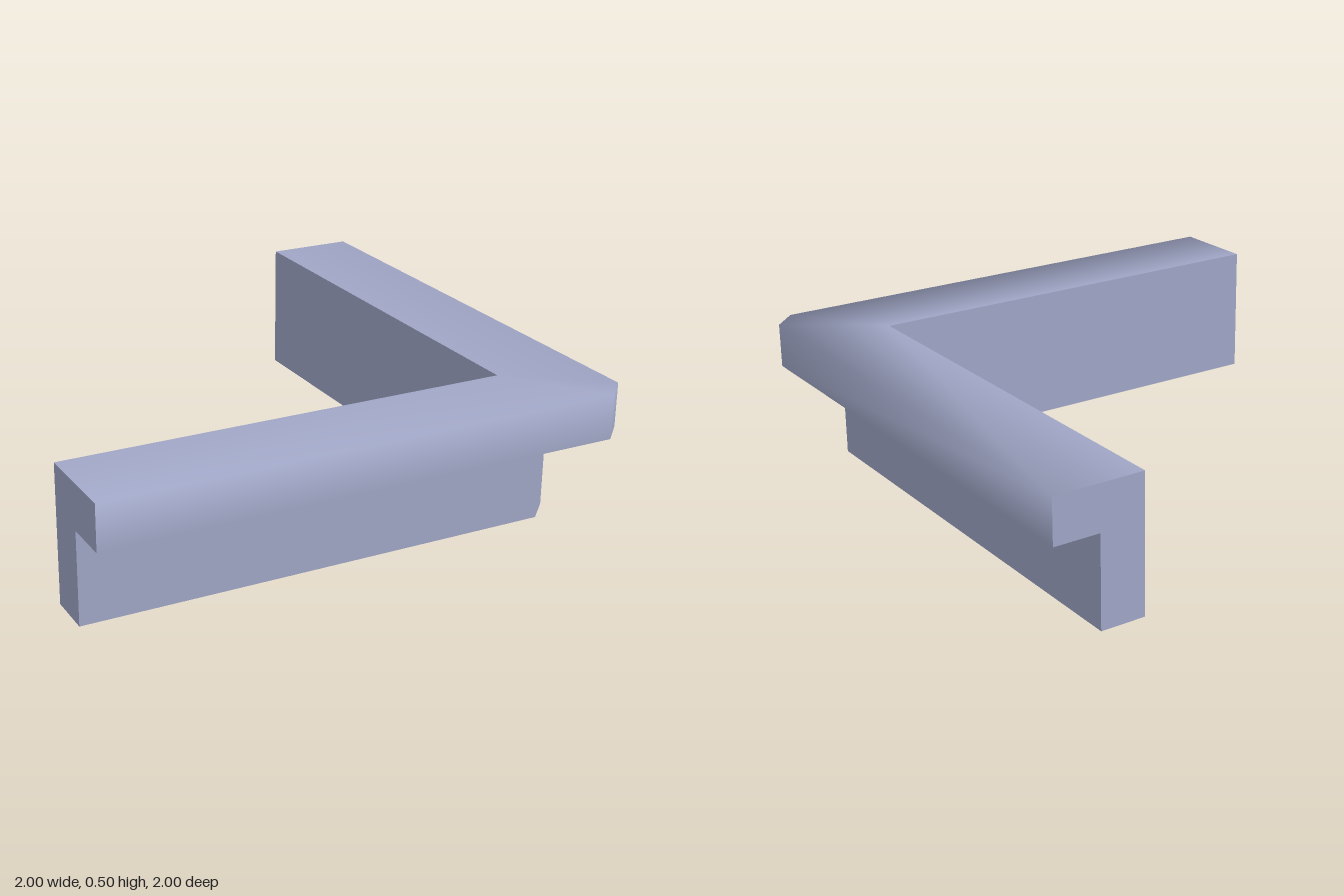
import * as THREE from 'three';

// L-shaped corner prism: outer faces at `out`, corner cut by `cut`, inner faces at `inn`.
// With soft = true the outer top edge is shaded as a rounded one.
function cornerPrism(out, cut, inn, y0, y1, soft) {
  // plan outline, anticlockwise from above: [x, z]
  const plan = [[-1, out], [out - cut, out], [out, out - cut], [out, -1], [inn, -1], [inn, inn], [-1, inn]];
  const up = new THREE.Vector3(0, 1, 0);
  const down = new THREE.Vector3(0, -1, 0);
  const sides = plan.map(([x, z], i) => {
    const [u, w] = plan[(i + 1) % plan.length];
    return new THREE.Vector3(-(w - z), 0, u - x).normalize();
  });

  // blended normals along the outer top edge
  const blended = plan.map((p, i) => {
    if (!soft || i > 3) return null;
    const n = up.clone();
    if (i > 0) n.add(sides[i - 1]);
    if (i < 3) n.add(sides[i]);
    return n.normalize();
  });

  const pos = [], nor = [];
  const put = (i, y, n) => {
    const normal = (y === y1 && n !== down && blended[i]) || n;
    pos.push(plan[i][0], y, plan[i][1]);
    nor.push(normal.x, normal.y, normal.z);
  };

  // side walls, with sharp inner faces and ends
  plan.forEach((p, i) => {
    const j = (i + 1) % plan.length;
    const hard = i > 2;
    const quad = [[i, y0], [j, y0], [j, y1], [i, y0], [j, y1], [i, y1]];
    for (const [k, y] of quad) {
      if (hard) {
        pos.push(plan[k][0], y, plan[k][1]);
        nor.push(sides[i].x, sides[i].y, sides[i].z);
      } else put(k, y, sides[i]);
    }
  });

  // top and underside
  for (const [a, b, c] of [[0, 1, 5], [0, 5, 6], [1, 2, 5], [2, 3, 5], [3, 4, 5]]) {
    for (const k of [a, b, c]) put(k, y1, up);
    for (const k of [a, c, b]) put(k, y0, down);
  }

  const geo = new THREE.BufferGeometry();
  geo.setAttribute('position', new THREE.Float32BufferAttribute(pos, 3));
  geo.setAttribute('normal', new THREE.Float32BufferAttribute(nor, 3));
  return geo;
}

export function createModel() {
  const group = new THREE.Group();
  group.name = 'cornerLedge';
  const stone = new THREE.MeshStandardMaterial({ color: 0xa0a6c6 });
  stone.name = 'blue grey';

  const wall = new THREE.Mesh(cornerPrism(0.83, 0.083, 0.665, 0, 0.335, false), stone);
  wall.name = 'wall';
  const ledge = new THREE.Mesh(cornerPrism(1, 0.085, 0.665, 0.335, 0.5, true), stone);
  ledge.name = 'ledge';
  group.add(wall, ledge);
  return group;
}
